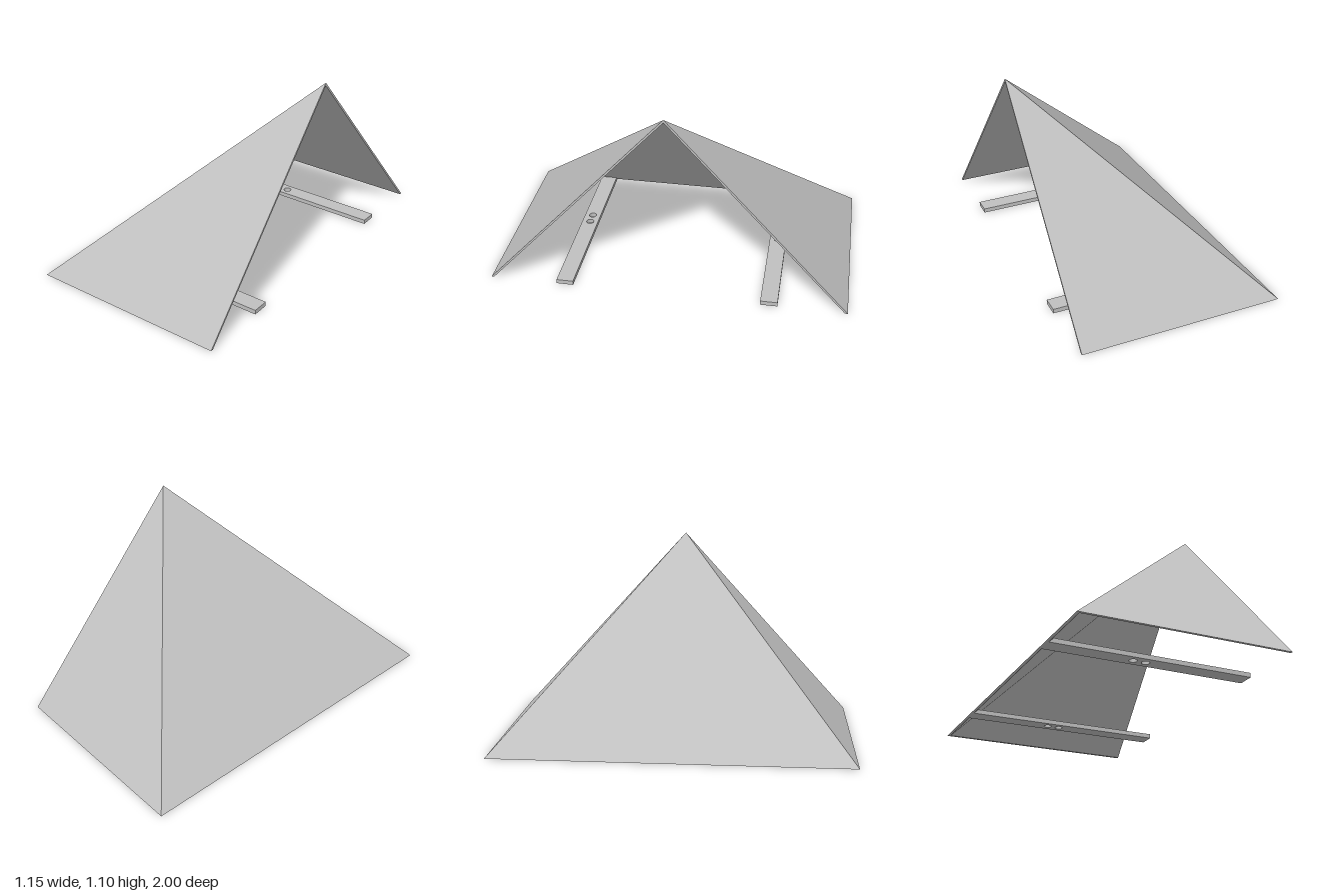
import * as THREE from 'three';

const X = 0.575, H = 1.1, Z = 1, T = 0.015; // half length, height, half width, wall ratio
const SLAT = 0.025;

// Flat-shaded mesh from polygons of three or four corners
function facesMesh(name, polygons, material) {
  const points = [];
  for (const [a, b, c, d] of polygons) {
    points.push(a, b, c);
    if (d) points.push(a, c, d);
  }
  const geometry = new THREE.BufferGeometry().setFromPoints(points);
  geometry.computeVertexNormals();
  const mesh = new THREE.Mesh(geometry, material);
  mesh.name = name;
  return mesh;
}

// Base strip with two screw holes; its far end is bevelled to the sloping panel
function createSlat(z, start, material) {
  const w = 0.0475;
  const shape = new THREE.Shape([
    new THREE.Vector2(start, -w), new THREE.Vector2(X, -w),
    new THREE.Vector2(X, w), new THREE.Vector2(start, w),
  ]);
  for (const x of [-0.085, -0.015]) {
    shape.holes.push(new THREE.Path().absarc(x, 0, 0.022, 0, Math.PI * 2, true));
  }
  const geometry = new THREE.ExtrudeGeometry(shape, { depth: SLAT, bevelEnabled: false, curveSegments: 16 });
  geometry.rotateX(-Math.PI / 2);
  const p = geometry.attributes.position;
  for (let i = 0; i < p.count; i++) {
    if (p.getX(i) < -0.5 && p.getY(i) > SLAT / 2) p.setX(i, p.getX(i) + SLAT * 2 * X / H);
  }
  geometry.computeVertexNormals();
  const mesh = new THREE.Mesh(geometry, material);
  mesh.position.z = z;
  mesh.name = z > 0 ? 'frontSlat' : 'backSlat';
  return mesh;
}

export function createModel() {
  const group = new THREE.Group();
  group.name = 'halfPyramidShelter';
  const grey = new THREE.MeshStandardMaterial({ color: 0xc0c0c0 });
  grey.name = 'light grey';

  // Outer and inner corners, running from the back opening round to the front opening
  const v = (x, y, z) => new THREE.Vector3(x, y, z);
  const inX = -X + T * 2 * X, inZ = Z - T;
  const outer = [v(X, 0, -Z), v(-X, 0, -Z), v(-X, 0, Z), v(X, 0, Z)];
  const inner = [v(X, 0, -inZ), v(inX, 0, -inZ), v(inX, 0, inZ), v(X, 0, inZ)];
  const apex = v(X, H, 0), innerApex = v(X, H * (1 - T), 0);

  // Three thin triangular panels, each with its bottom edge
  ['backPanel', 'slopingPanel', 'frontPanel'].forEach((name, i) => {
    const [a, b, c, d] = [outer[i], outer[i + 1], inner[i], inner[i + 1]];
    group.add(facesMesh(name, [[a, b, apex], [d, c, innerApex], [b, a, c, d]], grey));
  });

  // Rim round the open side
  group.add(facesMesh('openingRim', [
    [outer[3], inner[3], innerApex, apex],
    [inner[0], outer[0], apex, innerApex],
  ], grey));

  // Pair of fixing slats on the ground
  for (const side of [1, -1]) group.add(createSlat(side * 0.5725, inX, grey));

  return group;
}
